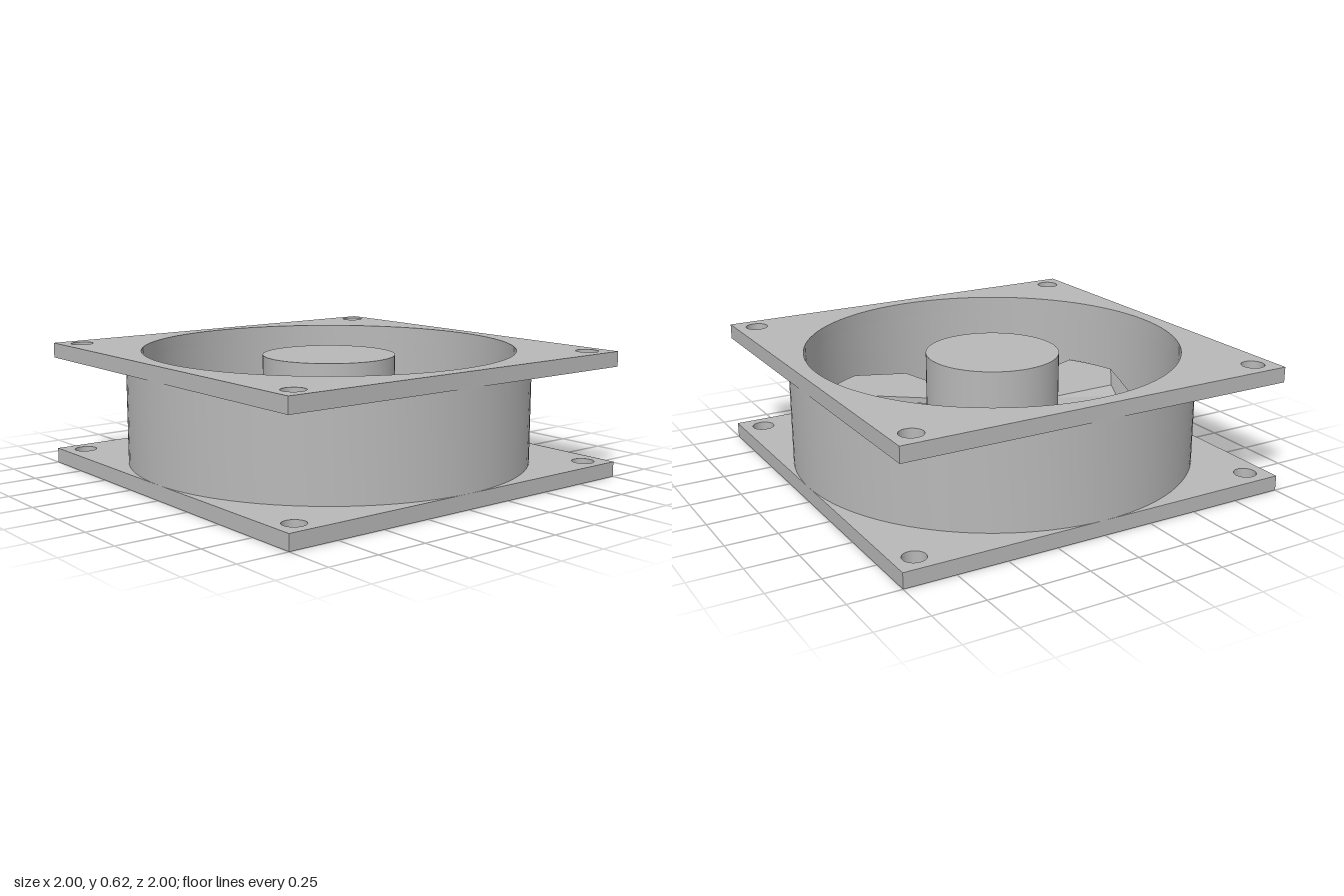
import * as THREE from 'three';
import { toCreasedNormals } from 'three/addons/utils/BufferGeometryUtils.js';

const PLATE = 0.075, HEIGHT = 0.625, BORE = 0.925, HUB = 0.33;
const BLADES = 7;

// Extrudes a shape upward from y = 0, smooth on the round walls
function extrudeUp(shape, depth) {
  const geo = new THREE.ExtrudeGeometry(shape, { depth, bevelEnabled: false, curveSegments: 48 });
  geo.rotateX(-Math.PI / 2);
  return toCreasedNormals(geo, 0.6);
}

function circle(x, y, r) {
  return new THREE.Path().absarc(x, y, r, 0, Math.PI * 2, true);
}

// Square flange with the large bore and four screw holes
function flangeGeometry() {
  const s = new THREE.Shape();
  s.moveTo(-1, -1).lineTo(1, -1).lineTo(1, 1).lineTo(-1, 1).closePath();
  s.holes.push(circle(0, 0, BORE));
  for (const x of [-1, 1]) for (const y of [-1, 1]) s.holes.push(circle(x * 0.895, y * 0.895, 0.055));
  return extrudeUp(s, PLATE);
}

// Round duct wall between the flanges
function ductGeometry() {
  const s = new THREE.Shape().absarc(0, 0, 1, 0, Math.PI * 2, false);
  s.holes.push(circle(0, 0, BORE));
  return extrudeUp(s, HEIGHT - 2 * PLATE);
}

// One folded blade: a level part and a steep part that drops to the low edge
function bladeGeometry() {
  const top = 0.3, low = 0.13, thick = 0.03, steps = 4;
  // radius, then angles of the leading edge, fold and low edge in degrees
  const rings = [
    [0.31, 15, 44, 63],
    [0.715, 5.5, 40.4, 58],
    [0.895, 7.8, 25.4, 43],
  ];
  const grid = rings.map(([r, lead, fold, end]) => {
    const row = [];
    for (let i = 0; i <= 2 * steps; i++) {
      const t = i / steps;
      const deg = t <= 1 ? lead + (fold - lead) * t : fold + (end - fold) * (t - 1);
      const a = THREE.MathUtils.degToRad(deg);
      const y = t <= 1 ? top : top + (low - top) * (t - 1);
      row.push([r * Math.cos(a), y, r * Math.sin(a)]);
    }
    return row;
  });
  const pos = [];
  const down = ([x, y, z]) => [x, y - thick, z];
  const quad = (a, b, c, d) => pos.push(...a, ...b, ...c, ...a, ...c, ...d);
  const n = 2 * steps;
  for (let k = 0; k < 2; k++) {
    for (let i = 0; i < n; i++) {
      const a = grid[k][i], b = grid[k][i + 1], c = grid[k + 1][i + 1], d = grid[k + 1][i];
      quad(a, b, c, d);
      quad(down(d), down(c), down(b), down(a));
    }
  }
  // Rim of the blade
  const loop = [
    ...grid[0], grid[1][n],
    ...grid[2].slice().reverse(), grid[1][0],
  ];
  loop.forEach((p, i) => {
    const q = loop[(i + 1) % loop.length];
    quad(p, down(p), down(q), q);
  });
  const geo = new THREE.BufferGeometry();
  geo.setAttribute('position', new THREE.Float32BufferAttribute(pos, 3));
  return toCreasedNormals(geo, 0.35);
}

export function createModel() {
  const group = new THREE.Group();
  group.name = 'coolingFan';
  const grey = new THREE.MeshStandardMaterial({ color: 0xb8b8b8 });
  grey.name = 'grey plastic';

  const add = (geo, name, y = 0, turn = 0) => {
    const mesh = new THREE.Mesh(geo, grey);
    mesh.name = name;
    mesh.position.y = y;
    mesh.rotation.y = turn;
    group.add(mesh);
    return mesh;
  };

  // Housing
  const flange = flangeGeometry();
  add(flange, 'bottomFlange');
  add(flange, 'topFlange', HEIGHT - PLATE);
  add(ductGeometry(), 'duct', PLATE);

  // Diagonal struts under the hub
  const barH = 0.09;
  const bar = new THREE.BoxGeometry(1.9, barH, 0.08);
  add(bar, 'strutA', barH / 2 + 0.001, Math.PI / 4);
  add(bar, 'strutB', barH / 2 + 0.001, -Math.PI / 4);

  // Hub
  const hubBottom = 0.09, hubTop = 0.59;
  add(new THREE.CylinderGeometry(HUB, HUB, hubTop - hubBottom, 72), 'hub', (hubTop + hubBottom) / 2);

  // Blades
  const blade = bladeGeometry();
  for (let i = 0; i < BLADES; i++) add(blade, 'blade' + (i + 1), 0, (-i * Math.PI * 2) / BLADES);

  return group;
}
